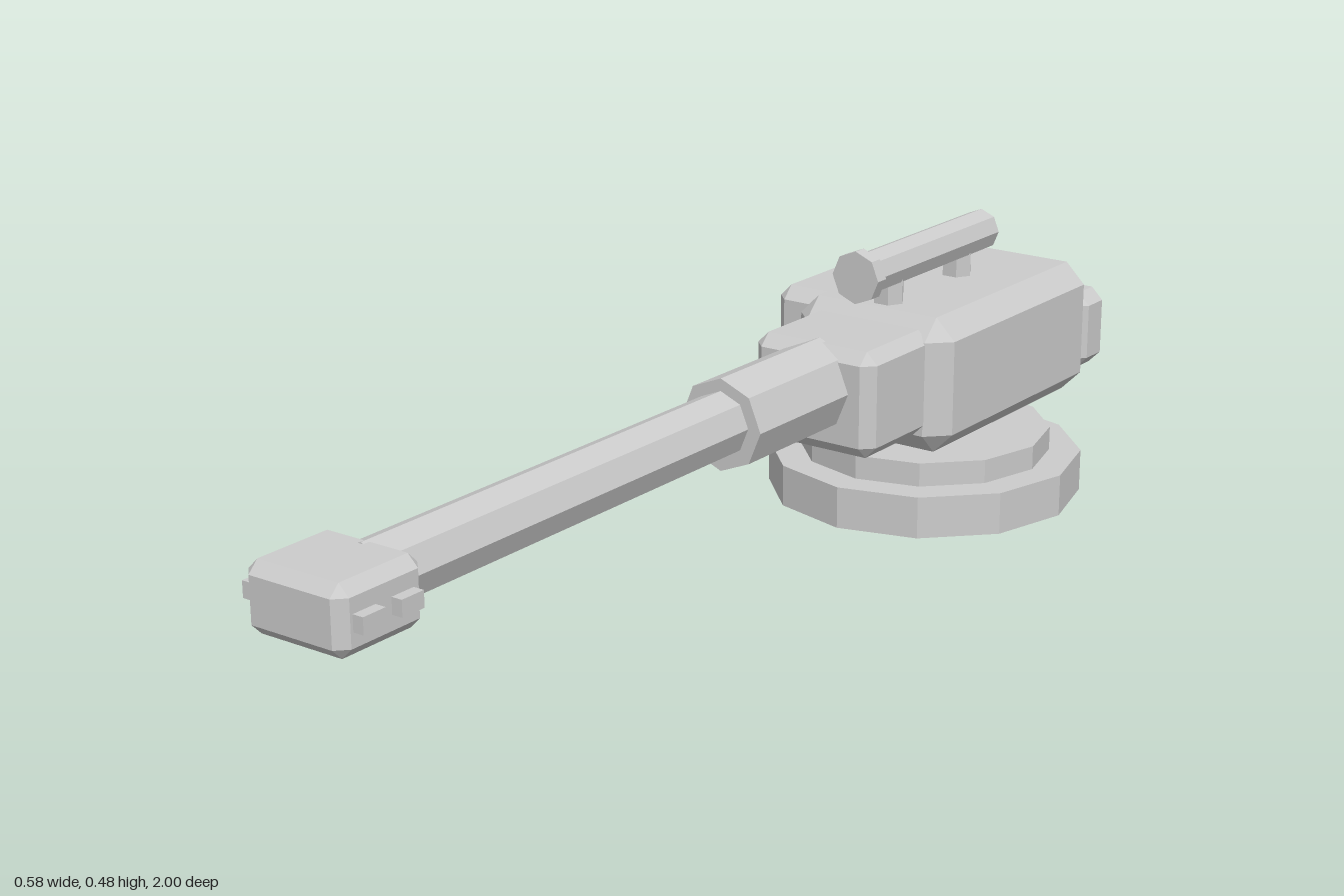
import * as THREE from 'three';
import { ConvexGeometry } from 'three/addons/geometries/ConvexGeometry.js';

const CX = 0.008; // shared centre line of gun and base
const material = new THREE.MeshStandardMaterial({ color: 0xcccccc, flatShading: true });

// Box between two corners with every edge chamfered by b
function chamferBox([x0, y0, z0], [x1, y1, z1], b) {
  const h = [(x1 - x0) / 2, (y1 - y0) / 2, (z1 - z0) / 2];
  const points = [];
  for (const sx of [-1, 1]) for (const sy of [-1, 1]) for (const sz of [-1, 1]) {
    for (let axis = 0; axis < 3; axis++) {
      const p = h.map((v, i) => (i === axis ? v : v - b));
      points.push(new THREE.Vector3(sx * p[0], sy * p[1], sz * p[2]));
    }
  }
  return new ConvexGeometry(points).translate((x0 + x1) / 2, (y0 + y1) / 2, (z0 + z1) / 2);
}

// Upright prism from y0 to y1
function disc(r, sides, y0, y1, z, turn = 0) {
  return new THREE.CylinderGeometry(r, r, y1 - y0, sides)
    .rotateY(turn).translate(CX, (y0 + y1) / 2, z);
}

// Octagonal rod along z
function rod(r, y, z0, z1) {
  return new THREE.CylinderGeometry(r, r, z1 - z0, 8)
    .rotateX(Math.PI / 2).translate(CX, y, (z0 + z1) / 2);
}

export function createModel() {
  const model = new THREE.Group();
  model.name = 'gunTurret';
  const add = (name, geometry) => {
    const mesh = new THREE.Mesh(geometry, material);
    mesh.name = name;
    model.add(mesh);
  };

  // Stepped base
  add('baseDisc', disc(0.279, 12, 0.021, 0.095, -0.588));
  add('baseRing', disc(0.223, 12, 0.095, 0.137, -0.588));

  // Housing and attached boxes
  add('housing', chamferBox([-0.149, 0.152, -0.907], [0.165, 0.392, -0.387], 0.037));
  add('frontCollar', chamferBox([-0.111, 0.188, -0.42], [0.129, 0.373, -0.22], 0.021));
  add('rearBox', chamferBox([-0.13, 0.176, -1], [0.146, 0.32, -0.906], 0.022));
  add('ammoBox', chamferBox([-0.289, 0.171, -0.84], [-0.159, 0.354, -0.54], 0.023));

  // Barrel
  add('barrelSleeve', rod(0.078, 0.3, -0.25, 0.03));
  add('barrel', rod(0.054, 0.303, 0, 0.86));
  add('muzzleBrake', chamferBox([-0.084, 0.246, 0.83], [0.101, 0.355, 1], 0.018));

  // Vent blocks on both sides of the muzzle
  for (const side of [-1, 1]) for (const z of [0.88, 0.955]) {
    add('muzzleVent', new THREE.BoxGeometry(0.03, 0.026, 0.044)
      .translate(CX + side * 0.0965, 0.3, z));
  }

  // Sight on two posts
  add('sightTube', rod(0.037, 0.457, -0.765, -0.37));
  add('sightLens', rod(0.046, 0.457, -0.38, -0.355));
  for (const z of [-0.461, -0.684]) {
    add('sightPost', disc(0.028, 6, 0.38, 0.44, z, Math.PI / 2));
  }

  return model;
}
